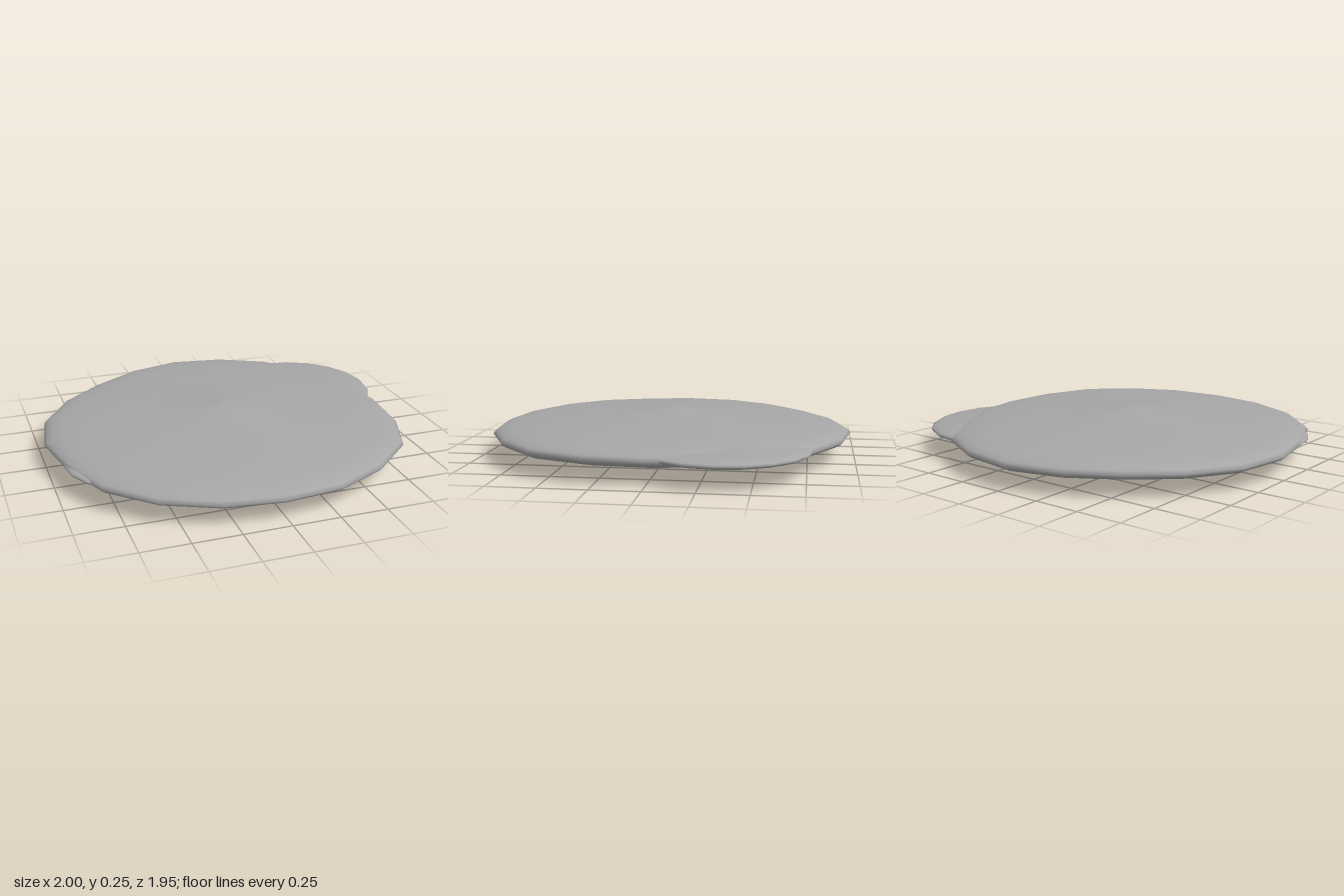
import * as THREE from 'three';

// Rim radius at each 18 degree step, from +x towards +z
const RIM = [0.95, 0.975, 1.01, 0.995, 0.987, 0.97, 0.977, 0.99, 0.994, 0.967,
  0.98, 0.98, 0.95, 0.928, 0.95, 0.98, 0.98, 0.98, 0.95, 0.95];

// Upper half of the pebble section: radius, height above the rim plane
const SECTION = [[0.985, 0.018], [0.955, 0.033], [0.9, 0.046], [0.8, 0.06], [0.63, 0.074],
  [0.43, 0.087], [0.22, 0.101], [0, 0.123]];

// Flattened pebble of unit radius; an optional rim list makes the outline uneven
function pebbleGeometry(rim) {
  const lower = SECTION.map(([r, y]) => new THREE.Vector2(r, -y)).reverse();
  const upper = SECTION.map(([r, y]) => new THREE.Vector2(r, y));
  const geometry = new THREE.LatheGeometry([...lower, new THREE.Vector2(1, 0), ...upper], 20);
  if (rim) {
    const p = geometry.attributes.position;
    for (let i = 0; i < p.count; i++) {
      const step = Math.round(Math.atan2(p.getZ(i), p.getX(i)) / (Math.PI / 10));
      const k = rim[(step + 20) % 20];
      p.setXYZ(i, p.getX(i) * k, p.getY(i), p.getZ(i) * k);
    }
  }
  return geometry;
}

export function createModel() {
  const group = new THREE.Group();
  const grey = new THREE.MeshStandardMaterial({ color: 0xa6a6a6 });
  grey.name = 'stone grey';

  function addPebble(name, geometry, x, y, z, scale) {
    const mesh = new THREE.Mesh(geometry, grey);
    mesh.name = name;
    mesh.position.set(x, y, z);
    mesh.scale.setScalar(scale);
    group.add(mesh);
  }

  const round = pebbleGeometry();
  // Large disc
  addPebble('mainDisc', pebbleGeometry(RIM), -0.02, 0.125, 0, 1);
  // Lobe at the back, and a smaller one barely breaking the front rim
  addPebble('backLobe', round, 0.545, 0.126, -0.33, 0.456);
  addPebble('frontLobe', round, -0.578, 0.123, 0.266, 0.37);
  return group;
}
